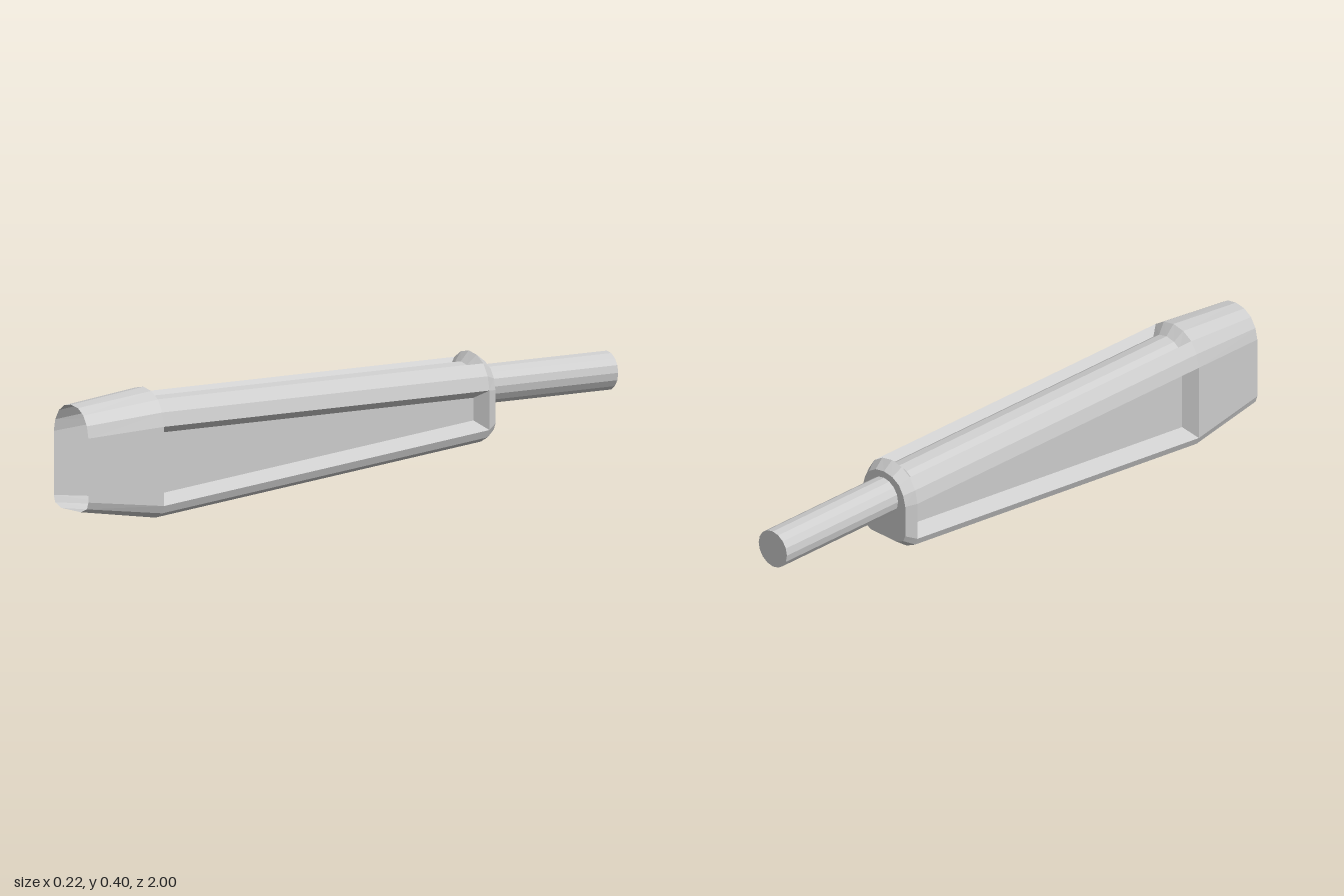
import * as THREE from 'three';

const material = new THREE.MeshStandardMaterial({
  color: 0xcccccc, flatShading: true, side: THREE.DoubleSide,
});

// Mirrors a right-hand half outline (bottom to crown) into a full ring of 15 points at depth z
function ring(half, z) {
  const left = half.slice(0, -1).reverse().map(([x, y]) => [-x, y]);
  return [...half, ...left].map(([x, y]) => new THREE.Vector3(x, y, z));
}

// Joins two rows of points with quads, skipping the columns listed
function loft(front, back, skip = [], closed = false) {
  const pos = [];
  const n = front.length;
  for (let i = 0; i < (closed ? n : n - 1); i++) {
    if (skip.includes(i)) continue;
    const j = (i + 1) % n;
    const [a, b, c, d] = [front[i], back[i], back[j], front[j]];
    for (const p of [a, b, c, a, c, d]) pos.push(p.x, p.y, p.z);
  }
  const geo = new THREE.BufferGeometry();
  geo.setAttribute('position', new THREE.Float32BufferAttribute(pos, 3));
  geo.computeVertexNormals();
  return geo;
}

function addMesh(group, name, geo) {
  const mesh = new THREE.Mesh(geo, material);
  mesh.name = name;
  group.add(mesh);
}

// Sunken panel: bevelled walls from the rim down to an inset floor
function addRecess(parent, name, outerF, outerB, innerF, innerB) {
  const group = new THREE.Group();
  group.name = name;
  const last = outerF.length - 1;
  addMesh(group, 'panelFloorAndSides', loft(
    [outerF[0], ...innerF, outerF[last]], [outerB[0], ...innerB, outerB[last]]));
  addMesh(group, 'panelFrontWall', loft(outerF, innerF));
  addMesh(group, 'panelRearWall', loft(innerB, outerB));
  parent.add(group);
}

export function createModel() {
  const model = new THREE.Group();
  model.name = 'handle';

  // Cross-sections from the open mouth to the rear wall
  const mouth = ring([[0.052, 0.04], [0.084, 0.053], [0.092, 0.075], [0.092, 0.273],
    [0.084, 0.31], [0.065, 0.341], [0.036, 0.36], [0, 0.366]], 1);
  const shoulder = ring([[0.063, 0], [0.1, 0.018], [0.11, 0.042], [0.11, 0.287],
    [0.1, 0.33], [0.077, 0.367], [0.042, 0.389], [0, 0.397]], 0.73);
  const heel = ring([[0.063, 0.123], [0.1, 0.141], [0.11, 0.165], [0.11, 0.287],
    [0.1, 0.33], [0.077, 0.367], [0.042, 0.389], [0, 0.397]], -0.485);
  const rear = ring([[0.055, 0.147], [0.083, 0.16], [0.092, 0.18], [0.092, 0.283],
    [0.083, 0.318], [0.065, 0.347], [0.036, 0.365], [0, 0.371]], -0.52);

  // Shell, with gaps left for the sunken panels
  addMesh(model, 'mouthCollar', loft(mouth, shoulder, [], true));
  addMesh(model, 'body', loft(shoulder, heel, [2, 5, 6, 7, 8, 11], true));
  addMesh(model, 'rearBevel', loft(heel, rear, [], true));

  // Side panels
  const zF = 0.7, zB = -0.455;
  const point = (x, y, z) => new THREE.Vector3(x, y, z);
  const sideF = [point(0.067, 0.075, zF), point(0.067, 0.262, zF)];
  const sideB = [point(0.067, 0.192, zB), point(0.067, 0.262, zB)];
  const mirror = (row) => row.map((p) => point(-p.x, p.y, p.z)).reverse();
  addRecess(model, 'leftPanel', shoulder.slice(2, 4), heel.slice(2, 4), sideF, sideB);
  addRecess(model, 'rightPanel', shoulder.slice(11, 13), heel.slice(11, 13),
    mirror(sideF), mirror(sideB));

  // Top panel, following the arch
  const arch = [[0.057, 0.342], [0.032, 0.359], [0, 0.366], [-0.032, 0.359], [-0.057, 0.342]];
  addRecess(model, 'topPanel', shoulder.slice(5, 10), heel.slice(5, 10),
    arch.map(([x, y]) => point(x, y, zF)), arch.map(([x, y]) => point(x, y, zB)));

  // Rear wall with a round hole for the rod
  const rodY = 0.288, rodR = 0.061, sides = 16;
  const wall = new THREE.Shape(rear.map((p) => new THREE.Vector2(p.x, p.y)));
  const hole = [];
  for (let i = 0; i < sides; i++) {
    const a = (i / sides) * Math.PI * 2;
    hole.push(new THREE.Vector2(Math.cos(a) * rodR, rodY + Math.sin(a) * rodR));
  }
  wall.holes.push(new THREE.Path(hole));
  addMesh(model, 'rearWall',
    new THREE.ShapeGeometry(wall).rotateY(Math.PI).translate(0, 0, -0.52));

  // Hollow rod, closed at its far end
  addMesh(model, 'rod', new THREE.CylinderGeometry(rodR, rodR, 0.48, sides, 1, true)
    .rotateX(Math.PI / 2).translate(0, rodY, -0.76));
  addMesh(model, 'rodEnd', new THREE.CircleGeometry(rodR, sides)
    .rotateY(Math.PI).translate(0, rodY, -1));

  return model;
}
